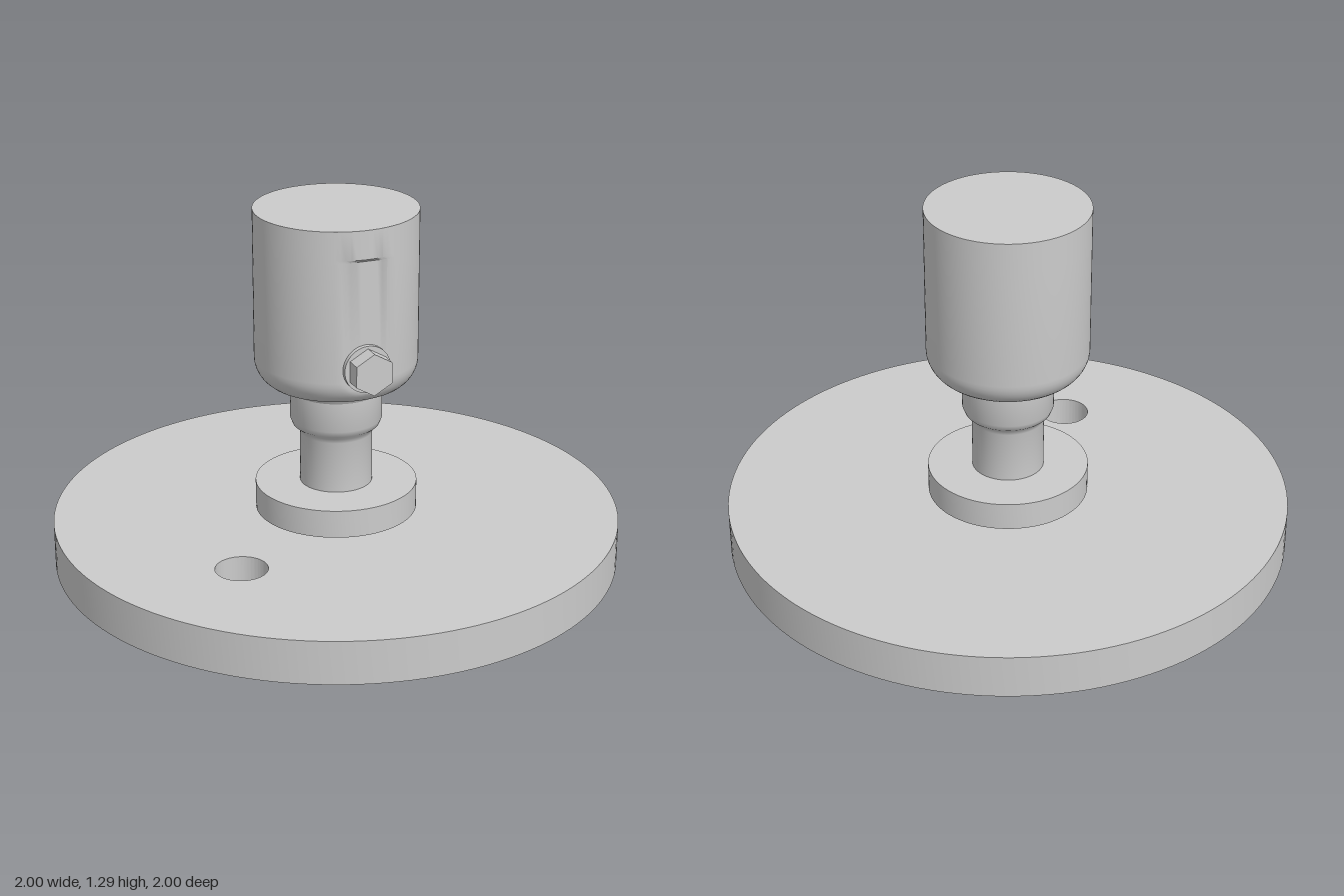
import * as THREE from 'three';
import { toCreasedNormals } from 'three/addons/utils/BufferGeometryUtils.js';

const grey = new THREE.MeshStandardMaterial({ color: 0xcccccc });

function mesh(name, geometry) {
  const m = new THREE.Mesh(toCreasedNormals(geometry, 0.6), grey);
  m.name = name;
  return m;
}

// Horizontal round plate between two heights, with round holes [x, z, radius]
function plate(name, radius, y0, y1, holes) {
  const shape = new THREE.Shape().absarc(0, 0, radius, 0, Math.PI * 2, false);
  for (const [x, z, r] of holes) {
    shape.holes.push(new THREE.Path().absarc(x, -z, r, 0, Math.PI * 2, true));
  }
  const geo = new THREE.ExtrudeGeometry(shape, { depth: y1 - y0, bevelEnabled: false, curveSegments: 72 });
  geo.rotateX(-Math.PI / 2);
  geo.translate(0, y0, 0);
  return mesh(name, geo);
}

function lathe(name, points, segments = 72) {
  return mesh(name, new THREE.LatheGeometry(points.map(([r, y]) => new THREE.Vector2(r, y)), segments));
}

export function createModel() {
  const model = new THREE.Group();
  const drain = [-0.475, 0.34, 0.09];

  // Base disc and the thinner pad below it, both pierced by the offset hole
  model.add(plate('baseDisc', 1, 0.02, 0.175, [drain]));
  model.add(plate('basePad', 0.718, 0, 0.02, [drain, [0, 0, 0.23]]));

  // Fastener set in the middle of the pad
  model.add(lathe('centrePlug', [[0, 0], [0.18, 0], [0.2, 0.01], [0.23, 0.01]]));

  // Spacer and flange joining the stem to the disc
  model.add(lathe('spacer', [[0, 0.17], [0.228, 0.17], [0.228, 0.195], [0, 0.195]]));
  model.add(lathe('flange', [[0, 0.19], [0.285, 0.19], [0.285, 0.29], [0, 0.29]]));

  // Stem widening into a shoulder
  model.add(lathe('stem', [
    [0.127, 0.285], [0.127, 0.475], [0.133, 0.492], [0.152, 0.508], [0.161, 0.53], [0.161, 0.65],
  ]));

  // Cup body with rounded bottom and a shallow flat on its front
  const bodyProfile = [[0, 0.635], [0.161, 0.635], [0.169, 0.65], [0.19, 0.66]];
  for (let i = 0; i <= 6; i++) {
    const a = -0.95 + (i / 6) * 0.95;
    bodyProfile.push([0.185 + 0.1 * Math.cos(a), 0.758 + 0.1 * Math.sin(a)]);
  }
  bodyProfile.push([0.285, 1.18], [0.285, 1.19], [0.285, 1.29], [0, 1.29]);
  const bodyGeo = new THREE.LatheGeometry(bodyProfile.map(([r, y]) => new THREE.Vector2(r, y)), 96);
  const p = bodyGeo.attributes.position;
  for (let i = 0; i < p.count; i++) {
    if (p.getY(i) > 0.72 && p.getY(i) < 1.185) p.setZ(i, Math.min(p.getZ(i), 0.273));
  }
  model.add(mesh('cupBody', bodyGeo));

  // Hex clamping bolt with washer on the front
  const bolt = new THREE.Group();
  bolt.name = 'clampBolt';
  const washer = new THREE.CylinderGeometry(0.083, 0.083, 0.04, 48).rotateX(Math.PI / 2);
  const head = new THREE.CylinderGeometry(0.074, 0.074, 0.06, 6).rotateX(Math.PI / 2);
  const washerMesh = mesh('washer', washer);
  washerMesh.position.z = 0.27;
  const headMesh = mesh('hexHead', head);
  headMesh.position.z = 0.318;
  bolt.add(washerMesh, headMesh);
  bolt.position.set(0, 0.805, 0);
  model.add(bolt);

  return model;
}
